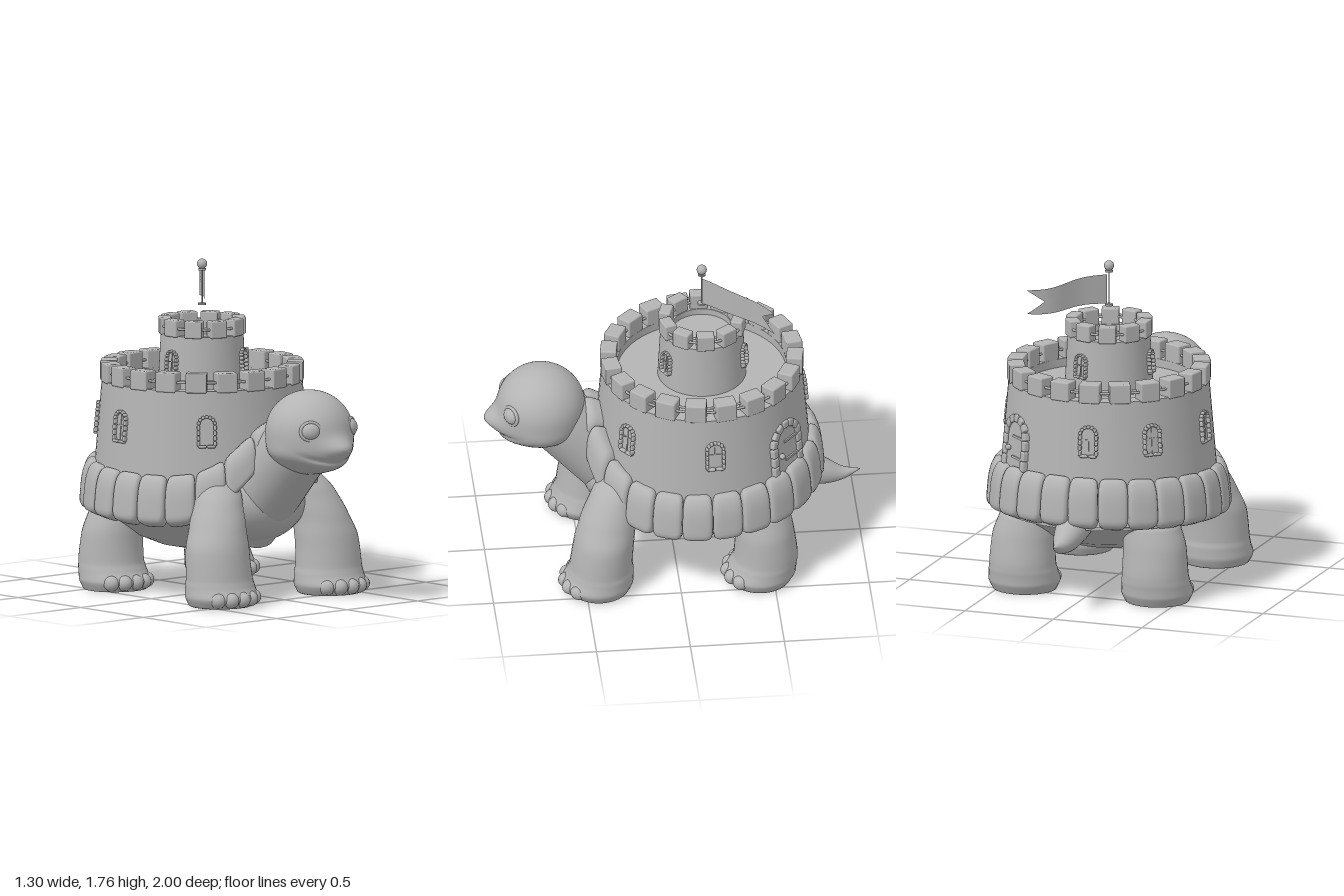
import * as THREE from 'three';
import { mergeVertices, toCreasedNormals } from 'three/addons/utils/BufferGeometryUtils.js';
import { RoundedBoxGeometry } from 'three/addons/geometries/RoundedBoxGeometry.js';

const stone = new THREE.MeshStandardMaterial({ color: 0xb4b4b4, side: THREE.DoubleSide });
stone.name = 'plain grey';
const CZ = -0.157; // centre of the castle and shell along z

function mesh(name, geo, parent, x = 0, y = 0, z = 0) {
  const m = new THREE.Mesh(geo, stone);
  m.name = name;
  m.position.set(x, y, z);
  parent.add(m);
  return m;
}
function group(name, parent) {
  const g = new THREE.Group();
  g.name = name;
  parent.add(g);
  return g;
}

// Moves every vertex by a rule and gives the result smooth normals
function warp(geo, rule) {
  geo.deleteAttribute('uv');
  geo.deleteAttribute('normal');
  const p = geo.attributes.position, v = new THREE.Vector3();
  for (let i = 0; i < p.count; i++) {
    rule(v.fromBufferAttribute(p, i));
    p.setXYZ(i, v.x, v.y, v.z);
  }
  const out = mergeVertices(geo, 1e-5);
  out.computeVertexNormals();
  return out;
}
const ball = (rx, ry, rz, seg = 32) => new THREE.SphereGeometry(1, seg, Math.ceil(seg * 0.7)).scale(rx, ry, rz);
const lathe = (pts) => toCreasedNormals(
  new THREE.LatheGeometry(pts.map(([x, y]) => new THREE.Vector2(x, y)), 72), 0.5);

// Round limb along [x, y, z, radius] keys
function limb(keys) {
  const curve = new THREE.CatmullRomCurve3(keys.map(k => new THREE.Vector3(k[0], k[1], k[2])));
  const radius = new THREE.CatmullRomCurve3(keys.map((k, i) => new THREE.Vector3(k[3], i, 0)));
  const N = 24, S = 28, geo = new THREE.TubeGeometry(curve, N, 1, S), p = geo.attributes.position;
  const v = new THREE.Vector3();
  for (let i = 0; i < p.count; i++) {
    const t = Math.floor(i / (S + 1)) / N, c = curve.getPointAt(t);
    const r = Math.max(0.001, radius.getPoint(curve.getUtoTmapping(t)).x);
    v.fromBufferAttribute(p, i).sub(c).multiplyScalar(r).add(c);
    p.setXYZ(i, v.x, v.y, v.z);
  }
  return warp(geo, () => {});
}

// Leg of level oval rings from [x, y, z, rx, rz] keys
function legGeometry(keys, side) {
  const mid = new THREE.CatmullRomCurve3(keys.map(k => new THREE.Vector3(k[0] * side, k[1], k[2])));
  const N = 48;
  return warp(new THREE.CylinderGeometry(1, 1, 1, 32, N, true), v => {
    const f = (v.y + 0.5) * (keys.length - 1);
    const i = Math.min(Math.floor(f), keys.length - 2), k = f - i;
    const c = mid.getPoint(f / (keys.length - 1));
    const s = k * k * (3 - 2 * k) * 0.5 + k * 0.5;
    v.x = c.x + v.x * THREE.MathUtils.lerp(keys[i][3], keys[i + 1][3], s);
    v.z = c.z + v.z * THREE.MathUtils.lerp(keys[i][4], keys[i + 1][4], s);
    v.y = Math.max(0, c.y);
  });
}

// Arched stone frame with bars, built flat facing +z, base at y = 0
function arch(name, parent, w, h, sill) {
  const g = group(name, parent), r = w / 2, s = w * 0.2, straight = h - r - s / 2;
  const block = (x, y, bw, bh, rot = 0) => {
    mesh('frameStone', new RoundedBoxGeometry(bw, bh, 0.035, 2, 0.007), g, x, y, 0.004).rotation.z = rot;
  };
  const n = Math.max(2, Math.round(straight / (s * 1.5)));
  for (const side of [-1, 1])
    for (let i = 0; i < n; i++) block(side * r, (i + 0.5) * straight / n, s, straight / n * 0.94);
  const k = 7;
  for (let i = 0; i < k; i++) {
    const a = Math.PI * (i + 0.5) / k;
    block(Math.cos(a) * r, straight + Math.sin(a) * r, s, Math.PI * r / k * 0.95, a);
  }
  if (sill) {
    for (const side of [-1, 1]) block(side * w * 0.27, -s * 0.1, w * 0.52, s * 0.9);
    mesh('upright', new THREE.BoxGeometry(s * 0.35, h - s, 0.012), g, 0, (h - s) / 2, 0.002);
    mesh('crossbar', new THREE.BoxGeometry(w, s * 0.35, 0.012), g, 0, straight * 0.75, 0.002);
  }
  return g;
}
function onWall(obj, deg, r, y) {
  const a = THREE.MathUtils.degToRad(deg);
  obj.position.set(Math.sin(a) * r, y, CZ + Math.cos(a) * r);
  obj.rotation.set(-0.09, a, 0, 'YXZ');
}

// Ring of battlements joined by two rails
function battlements(parent, count, r, y, w, h, d) {
  const g = group('battlements', parent);
  for (let i = 0; i < count; i++) {
    const a = (i + 0.5) / count * Math.PI * 2;
    mesh('merlon', new RoundedBoxGeometry(w, h, d, 2, 0.008), g,
      Math.sin(a) * r, y, CZ + Math.cos(a) * r).rotation.y = a;
  }
  for (const off of [-0.022, 0.018])
    mesh('rail', new THREE.TorusGeometry(r + off, 0.007, 8, 72).rotateX(Math.PI / 2), g, 0, y, CZ);
}

function buildCastle(root) {
  const castle = group('castle', root);
  mesh('mainTower', lathe([[0.59, 0.43], [0.532, 1.12], [0.45, 1.12], [0.45, 1.075], [0, 1.075]]), castle, 0, 0, CZ);
  battlements(castle, 20, 0.494, 1.163, 0.112, 0.105, 0.088);
  mesh('upperTower', lathe([[0.235, 1.07], [0.219, 1.365], [0.16, 1.365], [0.16, 1.33], [0, 1.33]]), castle, 0, 0, CZ);
  battlements(castle, 10, 0.196, 1.404, 0.094, 0.092, 0.066);
  for (const deg of [39, 92, 189, 225, 267, 321]) onWall(arch('window', castle, 0.088, 0.165, true), deg, 0.553, 0.83);
  for (const deg of [30, 160, 274]) onWall(arch('upperWindow', castle, 0.07, 0.125, true), deg, 0.23, 1.165);

  // Door with leaf, hinges and knob
  const door = arch('door', castle, 0.205, 0.29, false);
  onWall(door, 138, 0.562, 0.69);
  const leaf = new THREE.Shape();
  leaf.moveTo(-0.1, 0);
  leaf.lineTo(0.1, 0);
  leaf.lineTo(0.1, 0.17);
  leaf.absarc(0, 0.17, 0.1, 0, Math.PI);
  mesh('doorLeaf', new THREE.ExtrudeGeometry(leaf, { depth: 0.009, bevelEnabled: false }), door);
  for (const y of [0.06, 0.17]) mesh('hinge', new THREE.BoxGeometry(0.11, 0.012, 0.012), door, 0.035, y, 0.012);
  mesh('knob', ball(0.016, 0.016, 0.016, 16), door, -0.055, 0.1, 0.02);

  // Flag and finial
  const flag = group('flag', castle);
  mesh('finial', ball(0.027, 0.027, 0.027, 20), flag, 0, 1.73, CZ);
  mesh('upperCollar', new THREE.CylinderGeometry(0.02, 0.02, 0.01, 20), flag, 0, 1.7, CZ);
  mesh('lowerCollar', new THREE.CylinderGeometry(0.022, 0.022, 0.01, 20), flag, 0, 1.515, CZ);
  mesh('pole', new THREE.CylinderGeometry(0.004, 0.004, 0.19, 8), flag, 0, 1.608, CZ);
  mesh('banner', warp(new THREE.PlaneGeometry(1, 1, 24, 8), v => {
    const t = (v.x + 0.5) * (1 - 0.2 * (1 - Math.abs(2 * v.y)));
    const wave = 0.022 * Math.sin(t * 7) * t;
    const y = 1.6 + v.y * (0.16 - 0.03 * t) - 0.012 * t + 0.008 * Math.sin(t * 6);
    v.set(0.012 + 0.31 * t + 0.75 * wave, y, CZ - 0.365 * t + 0.65 * wave);
  }), flag);
}

// Rim plates: rounded blocks bent round the shell, rising over the neck
function buildShell(root) {
  const shell = group('shellRim', root), COUNT = 24;
  for (let i = 0; i < COUNT; i++) {
    const mid = ((i + 0.5) / COUNT * 2 - 1) * Math.PI;
    mesh('rimPlate', warp(new THREE.BoxGeometry(2, 2, 2, 10, 10, 6), v => {
      const n = Math.pow(v.x ** 6 + v.y ** 6 + v.z ** 6, 1 / 6);
      v.divideScalar(n);
      const a = mid + v.x * Math.PI / COUNT * 0.985, t = (v.y + 1) / 2;
      const rise = Math.exp(-((a / 0.5) ** 2)), back = (1 - Math.cos(a)) / 2;
      const low = 0.4 + 0.05 * back * back + 0.38 * rise;
      const high = 0.655 + 0.05 * back * back + 0.3 * rise;
      const r = 0.612 - 0.062 * t + 0.03 * (1 - v.y * v.y) * t + v.z * 0.045 + 0.02 * rise;
      v.set(Math.sin(a) * r, low + (high - low) * t + v.z * 0.02, CZ + Math.cos(a) * r);
    }), shell);
  }
}

function buildHead(root) {
  const head = group('head', root), C = new THREE.Vector3(0, 0.92, 0.7);
  // Skull with snout, jaw and a smiling mouth crease
  mesh('skull', warp(new THREE.SphereGeometry(1, 72, 56), v => {
    const front = Math.max(0, v.z);
    v.set(v.x * 0.235, v.y * 0.225, v.z * 0.235).add(C);
    const bump = (w, y, h) => Math.exp(-((v.x / w) ** 2) - ((v.y - y) / h) ** 2);
    const mouth = Math.exp(-(((v.y - 0.778 - v.x * v.x * 1.6) / 0.012) ** 2)) * Math.exp(-((v.x / 0.17) ** 4));
    const push = 0.078 * bump(0.1, 0.85, 0.055) + 0.055 * bump(0.15, 0.755, 0.05) - 0.016 * mouth;
    v.x *= 1 + 0.1 * Math.exp(-(((v.y - 0.8) / 0.06) ** 2));
    v.z += push * Math.min(1, front * 2);
  }), head);
  for (const s of [-1, 1]) {
    const eye = group(s > 0 ? 'leftEye' : 'rightEye', head);
    eye.position.set(s * 0.143, 0.953, 0.872);
    eye.rotation.set(-0.1, s * 0.55, 0, 'YXZ');
    mesh('eyeball', ball(0.05, 0.044, 0.032, 24), eye);
    mesh('eyelid', new THREE.TorusGeometry(0.053, 0.01, 10, 32).scale(1, 0.9, 1), eye);
  }
}

function buildBody(root) {
  const body = group('body', root);
  mesh('belly', lathe([[0, 0.215], [0.12, 0.221], [0.23, 0.243], [0.34, 0.288], [0.45, 0.365], [0.54, 0.425], [0.6, 0.45], [0.58, 0.5]]), body, 0, 0, CZ);
  mesh('chest', ball(0.33, 0.225, 0.28, 40), body, 0, 0.5, 0.21);
  mesh('neck', limb([[0, 0.4, 0.17, 0.2], [0, 0.56, 0.33, 0.2], [0, 0.7, 0.47, 0.192], [0, 0.83, 0.6, 0.185], [0, 0.9, 0.68, 0.17]]), body);
  mesh('tail', limb([[0, 0.5, -0.55, 0.11], [0, 0.43, -0.7, 0.092], [0, 0.388, -0.81, 0.07], [0, 0.372, -0.9, 0.038], [0, 0.39, -1, 0.002]]), body);

  const frontKeys = [[0.385, 0, 0.43, 0, 0], [0.385, 0, 0.43, 0.175, 0.165], [0.385, 0.05, 0.435, 0.2, 0.192],
    [0.385, 0.105, 0.42, 0.192, 0.177], [0.387, 0.15, 0.416, 0.184, 0.167], [0.385, 0.3, 0.4, 0.176, 0.16],
    [0.362, 0.42, 0.375, 0.152, 0.15], [0.325, 0.55, 0.34, 0.13, 0.125], [0.28, 0.65, 0.3, 0.1, 0.09], [0.25, 0.7, 0.28, 0, 0]];
  const hindKeys = [[0.375, 0, -0.43, 0, 0], [0.375, 0, -0.43, 0.17, 0.165], [0.375, 0.05, -0.43, 0.192, 0.192],
    [0.375, 0.105, -0.45, 0.185, 0.177], [0.375, 0.15, -0.46, 0.178, 0.17], [0.37, 0.3, -0.455, 0.17, 0.157],
    [0.35, 0.42, -0.44, 0.15, 0.145], [0.33, 0.5, -0.42, 0, 0]];
  for (const [name, keys] of [['frontLeg', frontKeys], ['hindLeg', hindKeys]])
    for (const s of [-1, 1]) {
      const leg = group((s > 0 ? 'left ' : 'right ') + name, body);
      mesh('limb', legGeometry(keys, s), leg);
      // Toes along the front of the foot
      const [x, , z] = keys[2];
      for (let i = 0; i < 5; i++) {
        const a = (i - 2) * 0.42;
        mesh('toe', ball(0.042, 0.042, 0.048, 18), leg, s * x + Math.sin(a) * 0.165, 0.047, z + Math.cos(a) * 0.162);
      }
    }
}

export function createModel() {
  const root = new THREE.Group();
  root.name = 'castleTortoise';
  buildBody(root);
  buildHead(root);
  buildShell(root);
  buildCastle(root);
  return root;
}
